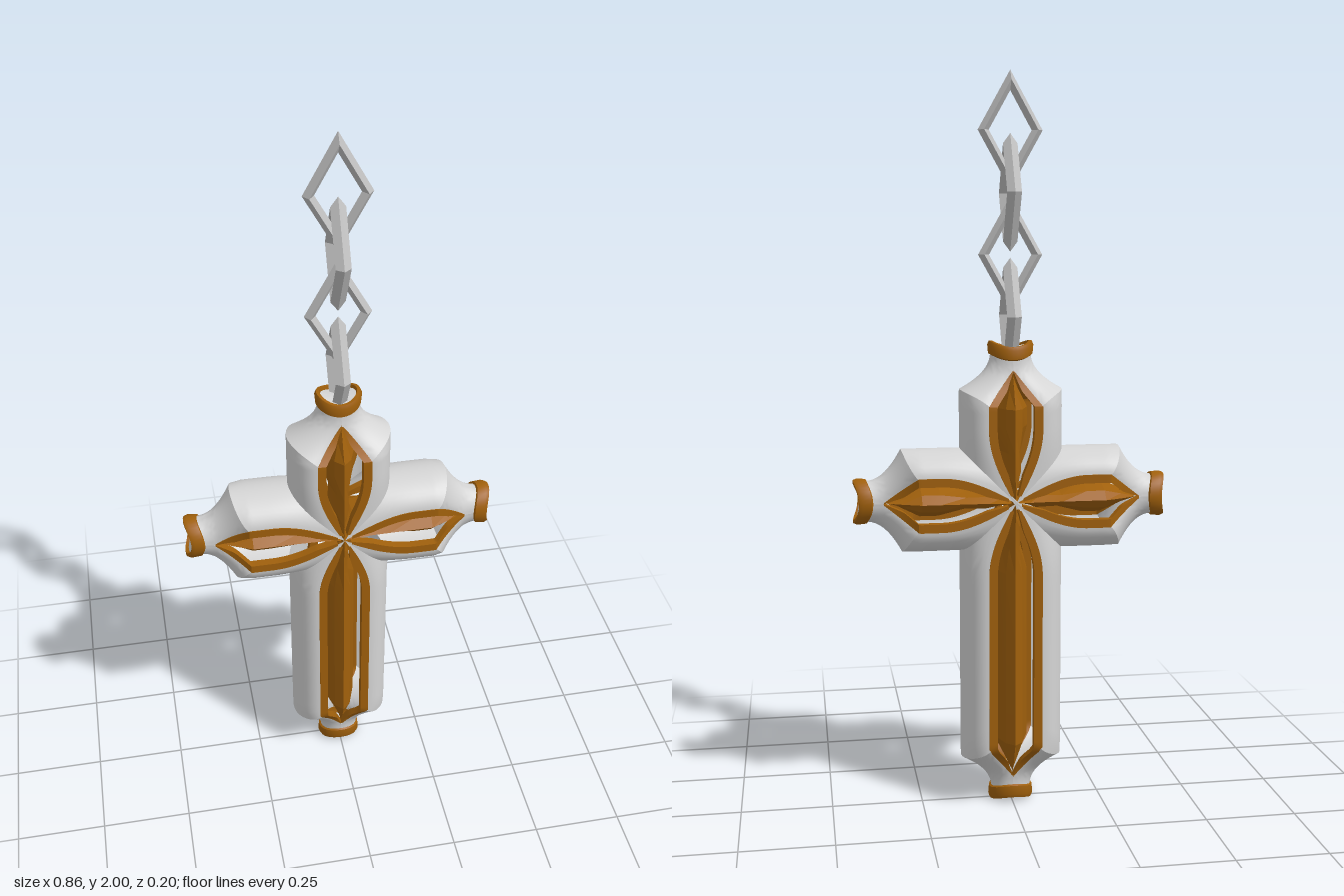
import * as THREE from 'three';
import { toCreasedNormals } from 'three/addons/utils/BufferGeometryUtils.js';

const silver = new THREE.MeshStandardMaterial({ color: 0xd4d4d4, side: THREE.DoubleSide });
silver.name = 'silver';
const steel = new THREE.MeshStandardMaterial({ color: 0xc0c0c0 });
steel.name = 'chain steel';
const gold = new THREE.MeshStandardMaterial({ color: 0xa0600c, side: THREE.DoubleSide });
gold.name = 'dark gold';

const { lerp, clamp } = THREE.MathUtils;
const CENTRE_Y = 0.86;

// Surface through a grid of points: point(i, j) returns [x, y, z]
function loft(rows, cols, point, crease = 0.5) {
  const pos = [], idx = [];
  for (let i = 0; i <= rows; i++) for (let j = 0; j <= cols; j++) pos.push(...point(i, j));
  for (let i = 0; i < rows; i++) for (let j = 0; j < cols; j++) {
    const a = i * (cols + 1) + j, b = a + cols + 1;
    idx.push(a, a + 1, b, b, a + 1, b + 1);
  }
  const g = new THREE.BufferGeometry();
  g.setAttribute('position', new THREE.Float32BufferAttribute(pos, 3));
  g.setIndex(idx);
  return toCreasedNormals(g, crease);
}

function add(group, name, geometry, material) {
  const mesh = new THREE.Mesh(geometry, material);
  mesh.name = name;
  group.add(mesh);
  return mesh;
}

// Piecewise linear curve through [t, value] pairs
function ramp(pairs, t) {
  for (let i = 1; i < pairs.length; i++) {
    const [t0, v0] = pairs[i - 1], [t1, v1] = pairs[i];
    if (t <= t1) return lerp(v0, v1, clamp((t - t0) / (t1 - t0), 0, 1));
  }
  return pairs[pairs.length - 1][1];
}

// One arm of the cross, growing along +y from the crossing
function makeArm(name, L) {
  const arm = new THREE.Group();
  arm.name = name;

  const opening = t => t < L - 0.17
    ? 0.07 * Math.sin(Math.PI / 2 * Math.min(1, t / 0.2))
    : 0.07 * clamp((L - 0.08 - t) / 0.09, 0, 1);
  const shoulder = a => L - 0.17 + 0.04 * Math.sin(a);
  const end = a => L - 0.03 - 0.015 * Math.cos(a) ** 2;
  const cove = u => Math.pow(1 - u, 2.2);
  const side = (t, a, w) => opening(t) + (w - opening(t)) * Math.sin(a);
  // where the arm meets its neighbours on the diagonal
  const mitre = a => {
    let t = 0.14;
    for (let k = 0; k < 60; k++) t = side(t, a, 0.14);
    return a < 0.001 || a > Math.PI - 0.001 ? 0 : t;
  };
  const N = 20, M = 26;

  for (const sgn of [1, -1]) {
    // rounded shell wall, open at front and back
    add(arm, 'shellWall', loft(N, M, (i, j) => {
      const a = Math.PI * i / N;
      const t = lerp(mitre(a), shoulder(a), Math.pow(j / M, 1.4));
      return [sgn * side(t, a, 0.14), t, 0.1 * Math.cos(a)];
    }), silver);
    // coved neck
    add(arm, 'neck', loft(N, 14, (i, j) => {
      const a = Math.PI * i / N, u = j / 14;
      const t = lerp(shoulder(a), end(a), u);
      return [sgn * side(t, a, 0.055 + 0.085 * cove(u)), t, (0.05 + 0.05 * cove(u)) * Math.cos(a)];
    }), silver);
  }

  // gold rims around the front and back openings
  const faceZ = t => 0.05 + 0.05 * cove(clamp((t - shoulder(0)) / (end(0) - shoulder(0)), 0, 1));
  const R = 48;
  for (const sx of [1, -1]) for (const sz of [1, -1]) {
    add(arm, 'openingRim', loft(R, 4, (i, j) => {
      const t = lerp(0.02, L - 0.08, i / R), o = opening(t), z = faceZ(t);
      const inner = o - Math.min(0.02, 0.5 * o), outer = o + 0.003;
      const ring = [[outer, z + 0.002], [inner, z + 0.002], [inner, z - 0.022], [outer, z - 0.022]];
      const [s, d] = ring[j % 4];
      return [sx * s, t, sz * d];
    }, 0.6), gold);
  }

  // ridged blade inside the shell
  const width = [[0.01, 0.004], [0.07, 0.03], [0.13, 0.028], [0.2, 0.046], [L - 0.18, 0.046], [L - 0.09, 0.001]];
  const ridge = [[0.01, 0.098], [0.08, 0.09], [L - 0.17, 0.09], [L - 0.09, 0.045]];
  const section = [[0, 1], [0.5, 0.75], [1, 0], [0.5, -0.75], [0, -1], [-0.5, -0.75], [-1, 0], [-0.5, 0.75]];
  const stations = [0.01, 0.04, 0.07, 0.13, 0.2, L - 0.18, L - 0.13, L - 0.09];
  add(arm, 'innerBlade', loft(stations.length - 1, 8, (i, j) => {
    const t = stations[i], [s, d] = section[j % 8];
    return [s * ramp(width, t), t, d * ramp(ridge, t)];
  }, 0.2), gold);

  // saddle-shaped end band and the plate closing it
  const band = [[-0.008, 0.98], [-0.004, 1.1], [0.02, 1.14], [0.03, 1.06], [0.03, 0.9], [0.02, 0.86]];
  const onRing = (j, off, k) => {
    const b = 2 * Math.PI * j / 32;
    return [0.055 * k * Math.sin(b), end(b) + off, 0.05 * k * Math.cos(b)];
  };
  add(arm, 'endBand', loft(band.length - 1, 32, (i, j) => onRing(j, ...band[i]), 0.6), gold);
  add(arm, 'endPlate', loft(1, 32, (i, j) => i ? onRing(j, 0.021, 0.88) : [0, L - 0.018, 0]), silver);
  return arm;
}

export function createModel() {
  const model = new THREE.Group();
  model.name = 'crossPendant';

  const cross = new THREE.Group();
  cross.name = 'cross';
  cross.position.y = CENTRE_Y;
  const arms = [['upperArm', 0.43, 0], ['leftArm', 0.43, -1], ['lowerArm', 0.86, 2], ['rightArm', 0.43, 1]];
  for (const [name, length, turns] of arms) {
    const arm = makeArm(name, length);
    arm.rotation.z = turns * Math.PI / 2;
    cross.add(arm);
  }
  model.add(cross);

  // diamond chain links, every other one turned a quarter
  const link = new THREE.TorusGeometry(0.83, 0.17, 4, 4);
  link.scale(0.087, 0.155, 0.115);
  const linkGeometry = toCreasedNormals(link, 0.1);
  const chain = new THREE.Group();
  chain.name = 'chain';
  for (let i = 0; i < 4; i++) {
    const mesh = add(chain, 'chainLink', linkGeometry, steel);
    mesh.position.y = 1.845 - i * 0.163;
    mesh.rotation.y = (i % 2) * Math.PI / 2;
  }
  model.add(chain);
  return model;
}
